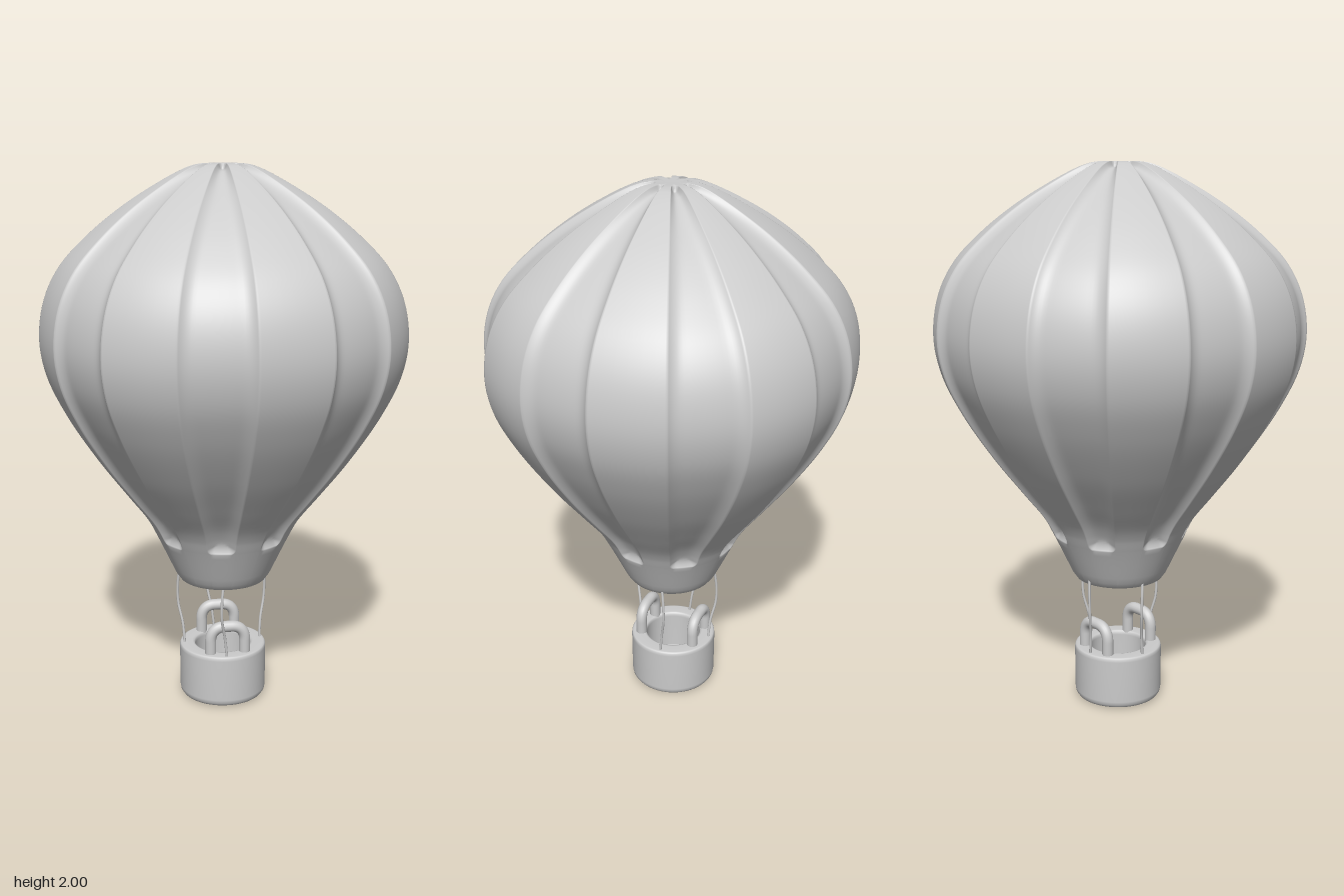
import * as THREE from 'three';

const material = new THREE.MeshStandardMaterial({ color: 0xcccccc, roughness: 0.7 });
const vec = (x, y, z = 0) => new THREE.Vector3(x, y, z);

function addMesh(parent, name, geometry) {
  const mesh = new THREE.Mesh(geometry, material);
  mesh.name = name;
  parent.add(mesh);
  return mesh;
}

// Outline of the envelope: radius, height
const profile = new THREE.CatmullRomCurve3([
  [0, 0.473], [0.1, 0.473], [0.145, 0.474], [0.168, 0.484], [0.182, 0.51], [0.248, 0.65],
  [0.284, 0.72], [0.363, 0.825], [0.467, 0.965], [0.571, 1.13], [0.634, 1.27], [0.655, 1.4],
  [0.634, 1.54], [0.577, 1.655], [0.478, 1.76], [0.363, 1.852], [0.248, 1.925], [0.155, 1.975],
  [0.11, 1.993], [0.07, 2], [0, 2],
].map(([r, y]) => vec(r, y)));
profile.arcLengthDivisions = 1000;

const HALF = Math.PI / 16; // half the angle of one panel
const DEPTH = 0.021;

// Depth of a sunken panel: crisp at the rim, easing into a soft floor, corners rounded
function pocketDepth(side, end, halfWidth) {
  const corner = Math.min(0.025, halfWidth);
  const qx = Math.max(corner - side, 0), qy = Math.max(corner - end, 0);
  const inside = Math.max(corner - Math.hypot(qx, qy), 0);
  const beyond = Math.max(Math.min(side, end) - corner, 0);
  const t = Math.min((inside + beyond) / Math.min(0.055, halfWidth), 1);
  return DEPTH * (1 - (1 - t) ** 2.6);
}

// Gored envelope: eight raised panels alternating with eight sunken ones
function envelopeGeometry() {
  const length = profile.getLength();
  let start = 0, stop = 1;
  while (profile.getPointAt(start).y < 0.645) start += 0.001;
  while (profile.getPointAt(stop).x < 0.052) stop -= 0.001;

  // Rows, closer together at both ends of the pockets
  const rows = [];
  for (let i = 0; i <= 80; i++) rows.push(i / 80);
  for (let i = 0; i <= 14; i++) {
    const step = (i * 0.0035) / length;
    rows.push(start + step, stop - step);
  }
  rows.sort((a, b) => a - b);

  // Columns, closer together at the pocket walls
  const edge = [0.25, 0.45, 0.58, 0.68, 0.76, 0.83, 0.88, 0.92, 0.96, 1];
  const sunken = [...edge.map((a) => -a).reverse(), 0, ...edge];
  const raised = [-0.95, -0.7, -0.35, 0, 0.35, 0.7, 0.95];
  const columns = [];
  for (let k = 0; k < 8; k++) {
    const middle = -HALF + k * HALF * 4;
    for (const a of sunken) columns.push({ a, angle: middle + a * HALF, isSunken: true });
    for (const a of raised) columns.push({ a, angle: middle + (2 + a) * HALF, isSunken: false });
  }

  const positions = [], indices = [], n = columns.length;
  rows.forEach((u, i) => {
    const p = profile.getPointAt(u), t = profile.getTangentAt(u);
    const end = Math.min(u - start, stop - u) * length;
    const halfWidth = Math.max(p.x * HALF, 0.001); // never zero at the poles
    // the round mouth gives way to flatter panels, fuller along the diagonals
    const body = THREE.MathUtils.smoothstep(p.y, 0.55, 0.95);
    columns.forEach(({ a, angle, isSunken }, j) => {
      const d = isSunken ? pocketDepth((1 - Math.abs(a)) * halfWidth, end, halfWidth) : 0;
      const shape = 0.025 * Math.sin(2 * angle) ** 2 - 0.006 * (1 - a * a);
      const r = p.x * (1 + body * shape) - t.y * d;
      positions.push(r * Math.sin(angle), p.y + t.x * d, r * Math.cos(angle));
      if (i === rows.length - 1) return;
      const here = i * n + j, next = i * n + ((j + 1) % n);
      indices.push(here, next, next + n, here, next + n, here + n);
    });
  });
  const geometry = new THREE.BufferGeometry();
  geometry.setAttribute('position', new THREE.Float32BufferAttribute(positions, 3));
  geometry.setIndex(indices);
  geometry.computeVertexNormals();
  return geometry;
}

// Hollow round basket with softened edges
function basketGeometry() {
  const points = [
    [0, 0], [0.132, 0], [0.143, 0.001], [0.155, 0.007], [0.162, 0.017], [0.164, 0.03],
    [0.165, 0.19], [0.164, 0.199], [0.161, 0.204], [0.155, 0.206],
    [0.116, 0.206], [0.109, 0.204], [0.106, 0.198], [0.105, 0.19],
    [0.105, 0.05], [0.102, 0.042], [0.095, 0.04], [0, 0.04],
  ].map(([r, y]) => new THREE.Vector2(r, y));
  return new THREE.LatheGeometry(points, 64);
}

// Arch with straight legs and rounded shoulders
function handleGeometry() {
  const path = new THREE.CurvePath();
  const x = 0.065, low = 0.18, shoulder = 0.255, top = 0.309, bend = 0.02;
  path.add(new THREE.LineCurve3(vec(-x, low), vec(-x, shoulder)));
  path.add(new THREE.CubicBezierCurve3(
    vec(-x, shoulder), vec(-x, top - 0.02), vec(-x + bend, top), vec(-0.015, top)));
  path.add(new THREE.LineCurve3(vec(-0.015, top), vec(0.015, top)));
  path.add(new THREE.CubicBezierCurve3(
    vec(0.015, top), vec(x - bend, top), vec(x, top - 0.02), vec(x, shoulder)));
  path.add(new THREE.LineCurve3(vec(x, shoulder), vec(x, low)));
  return new THREE.TubeGeometry(path, 64, 0.021, 16);
}

// Slack rope on the +z side; the others are turned from it, swaying either way
function ropeGeometry(sway) {
  const path = new THREE.CatmullRomCurve3([
    vec(-0.025 * sway, 0.5, 0.163), vec(-0.032 * sway, 0.43, 0.169),
    vec(-0.032 * sway, 0.36, 0.167), vec(-0.018 * sway, 0.28, 0.152),
    vec(-0.008 * sway, 0.19, 0.146),
  ]);
  return new THREE.TubeGeometry(path, 32, 0.005, 8);
}

export function createModel() {
  const model = new THREE.Group();
  model.name = 'hotAirBalloon';

  addMesh(model, 'envelope', envelopeGeometry());

  // Everything that hangs below the envelope
  const gondola = new THREE.Group();
  gondola.name = 'gondola';
  gondola.position.z = -0.008;
  model.add(gondola);

  addMesh(gondola, 'basket', basketGeometry());

  for (const side of [1, -1]) {
    addMesh(gondola, side > 0 ? 'frontHandle' : 'backHandle', handleGeometry())
      .position.z = side * 0.109;
  }

  // side ropes bow towards the back, front and back ropes towards the right
  const ropes = [['frontRope', 1], ['leftRope', -1], ['backRope', -1], ['rightRope', 1]];
  ropes.forEach(([name, sway], turn) => {
    addMesh(gondola, name, ropeGeometry(sway)).rotation.y = turn * Math.PI / 2;
  });

  return model;
}
